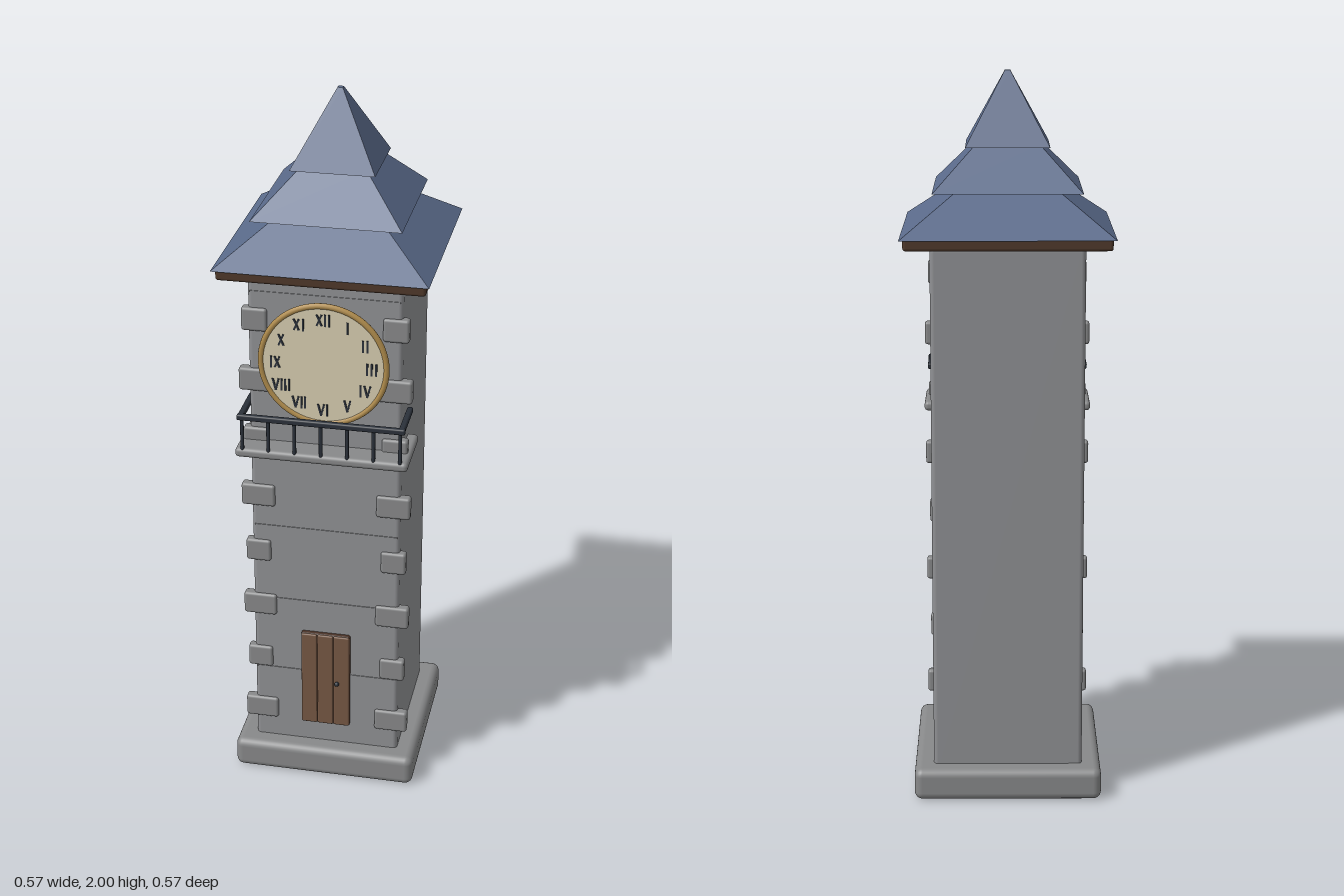
import * as THREE from 'three';
import { RoundedBoxGeometry } from 'three/addons/geometries/RoundedBoxGeometry.js';

export function createModel() {
  const tower = new THREE.Group();
  tower.name = 'clockTower';

  const mat = (name, color) => {
    const m = new THREE.MeshStandardMaterial({ color });
    m.name = name;
    return m;
  };
  const wall = mat('wallStone', 0x909194);
  const trimStone = mat('trimStone', 0x88898a);
  const slate = mat('slate', 0x5a6a8a);
  const eaveWood = mat('eaveWood', 0x4e382a);
  const doorWood = mat('doorWood', 0x765844);
  const seamWood = mat('darkWood', 0x4a3226);
  const brass = mat('brass', 0xb08c4c);
  const ivory = mat('ivory', 0xd6cdb0);
  const iron = mat('iron', 0x2b313a);

  const add = (name, geometry, material, x = 0, y = 0, z = 0, parent = tower) => {
    const mesh = new THREE.Mesh(geometry, material);
    mesh.name = name;
    mesh.position.set(x, y, z);
    parent.add(mesh);
    return mesh;
  };
  const group = (name) => {
    const g = new THREE.Group();
    g.name = name;
    tower.add(g);
    return g;
  };
  const box = (w, h, d) => new THREE.BoxGeometry(w, h, d);
  const rounded = (w, h, d, r) => new RoundedBoxGeometry(w, h, d, 3, r);

  // Square frustum with flat sides, given half widths
  const frustum = (bottom, top, h) => {
    const g = new THREE.CylinderGeometry(top * Math.SQRT2, bottom * Math.SQRT2, h, 4)
      .rotateY(Math.PI / 4).toNonIndexed();
    g.computeVertexNormals();
    return g;
  };

  // Plinth and shaft
  add('plinth', rounded(0.52, 0.09, 0.52, 0.022), trimStone, 0, 0.05, 0);
  add('shaft', rounded(0.414, 1.49, 0.414, 0.012), wall, 0, 0.805, 0);

  // Raised stone courses on the front
  const courses = group('stoneCourses');
  for (let i = 0; i < 6; i++) {
    add('course', box(0.4, 0.005, 0.006), wall, 0, 0.33 + i * 0.234, 0.206, courses);
  }

  // Corner blocks, alternating long and short
  const quoins = group('cornerBlocks');
  for (let i = 0; i < 8; i++) {
    const w = i % 2 ? 0.07 : 0.094;
    const x = i % 2 ? 0.19 : 0.188;
    for (const s of [-1, 1]) {
      add('cornerBlock', rounded(w, 0.066, 0.03, 0.008), trimStone, s * x, 0.191 + i * 0.1757, 0.2, quoins);
    }
  }

  // Plank door
  const door = group('door');
  add('doorBack', rounded(0.14, 0.304, 0.02, 0.006), seamWood, 0, 0.314, 0.21, door);
  for (const i of [-1, 0, 1]) {
    add('doorPlank', rounded(0.045, 0.3, 0.016, 0.004), doorWood, i * 0.0465, 0.314, 0.216, door);
  }
  add('doorKnob', new THREE.SphereGeometry(0.007, 12, 8), iron, 0.035, 0.31, 0.23, door);

  // Clock face and brass rim
  const clock = group('clock');
  const disc = (r, d) => new THREE.CylinderGeometry(r, r, d, 64).rotateX(Math.PI / 2);
  add('clockMount', disc(0.05, 0.02), brass, 0, 1.314, 0.213, clock);
  add('clockFace', disc(0.17, 0.01), ivory, 0, 1.314, 0.226, clock);
  add('clockRim', new THREE.TorusGeometry(0.169, 0.008, 10, 64), brass, 0, 1.314, 0.228, clock);

  // Hour marks as groups of upright and slanted strokes: [offset, tilt]
  const cross = (o) => [[o, 0.4], [o, -0.4]];
  const wedge = (o) => [[o - 0.004, 0.25], [o + 0.004, -0.25]];
  const bars = (...offsets) => offsets.map((o) => [o, 0]);
  const hours = [
    [...cross(-0.01), ...bars(0.006, 0.016)], bars(0), bars(-0.006, 0.006), bars(-0.012, 0, 0.012),
    [...bars(-0.012), ...wedge(0.006)], wedge(0), [...wedge(-0.006), ...bars(0.01)],
    [...wedge(-0.01), ...bars(0.006, 0.016)], [...wedge(-0.016), ...bars(0, 0.01, 0.02)],
    [...bars(-0.01), ...cross(0.006)], cross(0), [...cross(-0.006), ...bars(0.012)],
  ];
  hours.forEach((strokes, i) => {
    const a = (i / 12) * Math.PI * 2;
    for (const [offset, tilt] of strokes) {
      const mark = add('hourMark', box(0.005, 0.034, 0.004), iron,
        Math.sin(a) * 0.13 + offset, 1.314 + Math.cos(a) * 0.13, 0.232, clock);
      mark.rotation.z = tilt;
    }
  });

  // Balcony slab, posts and handrails
  const balcony = group('balcony');
  add('balconySlab', rounded(0.47, 0.027, 0.185, 0.011), trimStone, 0, 1.053, 0.183, balcony);
  for (let i = -3; i <= 3; i++) {
    add('railPost', new THREE.CylinderGeometry(0.005, 0.005, 0.1, 10), iron, i * 0.0715, 1.112, 0.268, balcony);
  }
  add('frontRail', rounded(0.456, 0.017, 0.016, 0.005), iron, 0, 1.16, 0.268, balcony);
  for (const s of [-1, 1]) {
    add('sideRail', rounded(0.016, 0.017, 0.14, 0.005), iron, s * 0.218, 1.16, 0.204, balcony);
  }

  // Eave board and three stepped roof tiers: [bottom, top, y0, y1]
  add('eaveBoard', rounded(0.55, 0.034, 0.55, 0.008), eaveWood, 0, 1.568, 0);
  const roof = group('roof');
  const tiers = [[0.285, 0.13, 1.58, 1.695], [0.2, 0.085, 1.69, 1.81], [0.113, 0.007, 1.803, 2]];
  for (const [bottom, top, y0, y1] of tiers) {
    add('roofTier', frustum(bottom, top, y1 - y0), slate, 0, (y0 + y1) / 2, 0, roof);
  }

  return tower;
}
